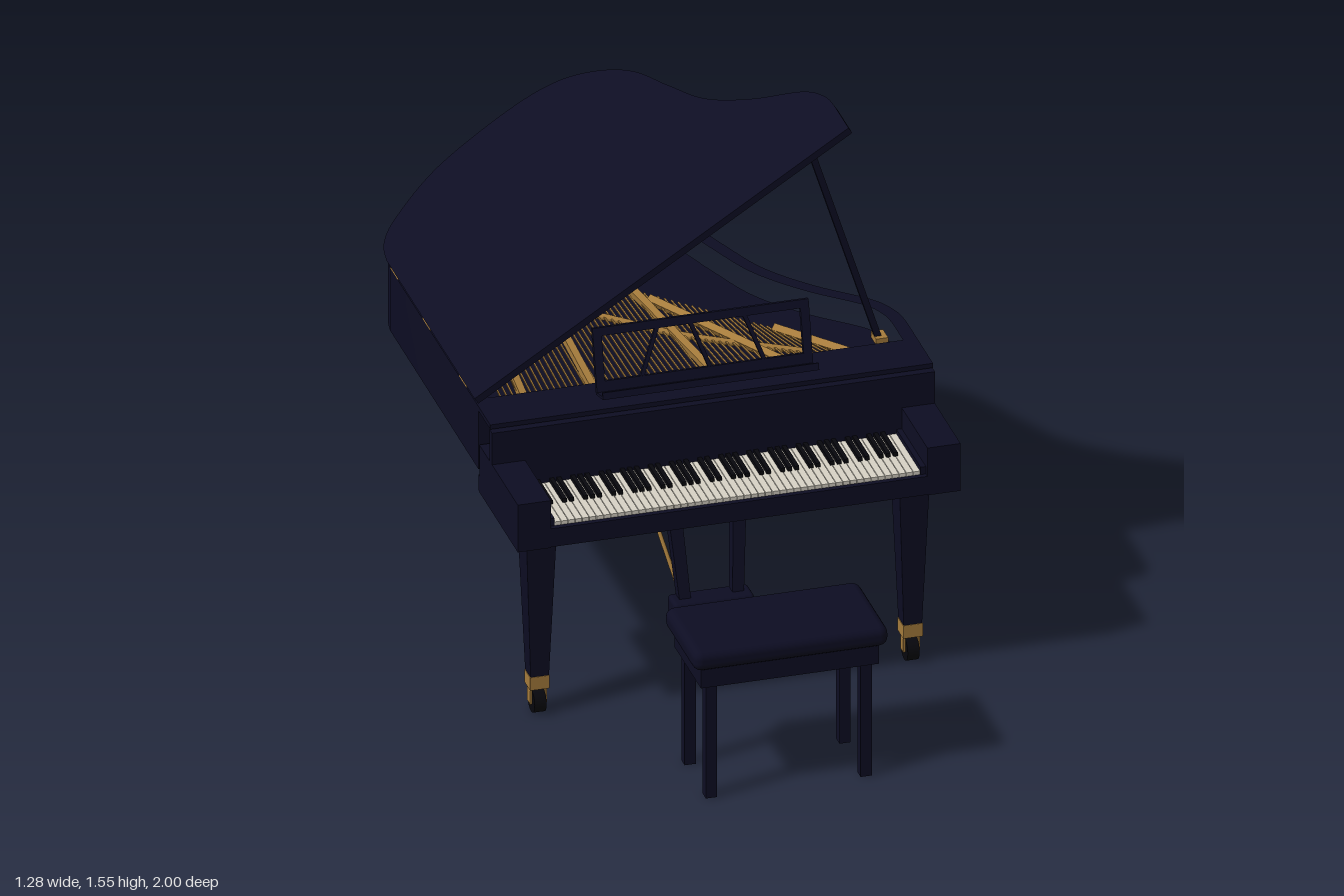
import * as THREE from 'three';
import { mergeGeometries, toCreasedNormals } from 'three/addons/utils/BufferGeometryUtils.js';
import { RoundedBoxGeometry } from 'three/addons/geometries/RoundedBoxGeometry.js';

const mat = (name, color) => new THREE.MeshStandardMaterial({ name, color });
const V = (x, y, z) => new THREE.Vector3(x, y, z);

export function createModel() {
  const lacquer = mat('midnight lacquer', 0x0d0d23);
  const brass = mat('brass', 0xa67c3c);
  const ivory = mat('ivory', 0xd9d4c7);
  const ebony = mat('ebony', 0x07070d);

  const root = new THREE.Group();
  root.name = 'grandPiano';
  const group = (name, parent = root) => {
    const g = new THREE.Group();
    g.name = name;
    parent.add(g);
    return g;
  };
  const add = (name, geo, material, parent = root) => {
    const m = new THREE.Mesh(geo, material);
    m.name = name;
    parent.add(m);
    return m;
  };
  // Box given by its limits on each axis
  const box = (x0, x1, y0, y1, z0, z1) =>
    new THREE.BoxGeometry(x1 - x0, y1 - y0, z1 - z0).translate((x0 + x1) / 2, (y0 + y1) / 2, (z0 + z1) / 2);
  // Straight bar between two points; four sides make it square
  const bar = (a, b, r0, r1 = r0, sides = 8) => {
    const d = b.clone().sub(a);
    let g = new THREE.CylinderGeometry(r1, r0, d.length(), sides);
    if (sides === 4) {
      g.rotateY(Math.PI / 4);
      g = toCreasedNormals(g, 0.5);
    }
    g.applyQuaternion(new THREE.Quaternion().setFromUnitVectors(V(0, 1, 0), d.normalize()));
    return g.translate((a.x + b.x) / 2, (a.y + b.y) / 2, (a.z + b.z) / 2);
  };

  // Wing-shaped outline, as (x, -z)
  const curve = new THREE.SplineCurve([
    [-0.635, 0.74], [-0.615, 0.82], [-0.55, 0.89], [-0.38, 0.975], [-0.14, 1.0], [0.02, 0.975], [0.135, 0.895],
    [0.22, 0.78], [0.28, 0.615], [0.345, 0.45], [0.45, 0.31], [0.58, 0.185], [0.625, 0.1], [0.635, 0.03],
  ].map(p => new THREE.Vector2(...p))).getPoints(78);
  const outline = inset => {
    const pts = curve.map((p, i) => {
      const a = curve[Math.max(i - 1, 0)], b = curve[Math.min(i + 1, curve.length - 1)];
      const t = b.clone().sub(a).normalize();
      return new THREE.Vector2(p.x + t.y * inset, p.y - t.x * inset);
    });
    const x = 0.635 - inset, f = -0.11 + inset;
    return [new THREE.Vector2(-x, f), ...pts, new THREE.Vector2(x, f)];
  };
  const slab = (shape, y, depth) => toCreasedNormals(
    new THREE.ExtrudeGeometry(shape, { depth, bevelEnabled: false }).rotateX(-Math.PI / 2).translate(0, y, 0), 0.5);

  // Case: rim and soundboard
  const body = group('case');
  const rim = new THREE.Shape(outline(0));
  rim.holes.push(new THREE.Path(outline(0.04)));
  add('rim', slab(rim, 0.65, 0.195), lacquer, body);
  add('soundboard', slab(new THREE.Shape(outline(0.035)), 0.652, 0.12), lacquer, body);

  // Raised lid, hinged along the straight side
  const lid = group('lid');
  lid.position.set(-0.635, 0.853, 0);
  lid.rotation.z = 0.565;
  add('lidPanel', slab(new THREE.Shape(outline(0)), 0, 0.02).translate(0.635, 0, 0), lacquer, lid);
  for (const z of [-0.04, -0.39, -0.7])
    add('lidHinge', box(-0.635, -0.61, 0.842, 0.862, z - 0.035, z + 0.035), brass);
  add('lidProp', bar(V(0.572, 0.77, -0.08), V(0.345, 1.485, -0.08), 0.013, 0.013, 4), lacquer);
  add('propSocket', box(0.555, 0.59, 0.77, 0.79, -0.105, -0.055), brass);

  // Iron frame and strings
  const harp = group('harp');
  add('pinPlate', box(-0.57, 0.565, 0.77, 0.79, 0.02, 0.07), brass, harp);
  const farEnd = x => x < 0 ? -0.5 + x * 0.43 : -0.5 + x * 1.06;
  const strings = [];
  for (let i = 0; i < 58; i++) {
    const x = -0.54 + i * 0.0175, xe = x * 0.85 - 0.03;
    strings.push(bar(V(x, 0.798, 0.06), V(xe, 0.798, farEnd(xe)), 0.003, 0.003, 4));
  }
  add('strings', mergeGeometries(strings), brass, harp);
  for (const [x0, z0, x1, z1] of [[-0.485, 0.1, -0.415, -0.68], [-0.28, 0.07, -0.25, -0.66],
    [0.07, 0.07, -0.01, -0.5], [0.3, 0.07, 0.02, -0.44], [0.47, 0.03, 0.3, -0.18]])
    add('frameBar', bar(V(x0, 0.8, z0), V(x1, 0.8, z1), 0.015, 0.015, 4), brass, harp);
  const bridge = new THREE.CatmullRomCurve3([V(-0.43, 0.795, -0.52), V(-0.2, 0.795, -0.44), V(0.05, 0.795, -0.22), V(0.35, 0.795, -0.03)]);
  add('bridge', new THREE.TubeGeometry(bridge, 24, 0.011, 6), brass, harp);

  // Keyboard
  const keyboard = group('keyboard');
  add('keybed', box(-0.635, 0.635, 0.585, 0.632, 0.11, 0.475), lacquer, keyboard);
  add('keySlip', box(-0.54, 0.54, 0.585, 0.642, 0.474, 0.49), lacquer, keyboard);
  for (const s of [-1, 1]) {
    add('cheek', box(0.54, 0.635, 0.583, 0.73, 0.12, 0.49).translate(s < 0 ? -1.175 : 0, 0, 0), lacquer, keyboard);
    add('keyBlock', box(-0.0075, 0.0075, 0.632, 0.665, 0.24, 0.475).translate(s * 0.5325, 0, 0), lacquer, keyboard);
  }
  add('fallboard', box(-0.635, 0.635, 0.632, 0.828, 0.217, 0.243), lacquer, keyboard);
  add('topShelf', box(-0.635, 0.635, 0.831, 0.845, 0.105, 0.225), lacquer, keyboard);
  const white = [], black = [], pitch = 1.05 / 52;
  for (let i = 0; i < 52; i++) {
    const x = -0.525 + i * pitch;
    white.push(box(x + 0.0008, x + pitch - 0.0008, 0.63, 0.652, 0.243, 0.472));
    if (i < 51 && [0, 2, 3, 5, 6].includes(i % 7))
      black.push(box(x + pitch - 0.006, x + pitch + 0.006, 0.64, 0.664, 0.243, 0.37));
  }
  add('whiteKeys', mergeGeometries(white), ivory, keyboard);
  add('blackKeys', mergeGeometries(black), ebony, keyboard);

  // Music desk leaning back
  const desk = group('musicDesk');
  desk.position.set(0, 0.855, 0.158);
  desk.rotation.x = -0.25;
  const h = 0.19;
  add('bottomRail', box(-0.31, 0.31, 0, 0.038, -0.007, 0.007), lacquer, desk);
  add('topRail', box(-0.31, 0.31, h - 0.024, h, -0.007, 0.007), lacquer, desk);
  for (const s of [-1, 1])
    add('sideRail', box(-0.0125, 0.0125, 0, h, -0.007, 0.007).translate(s * 0.2975, 0, 0), lacquer, desk);
  for (const [a, b] of [[-0.18, -0.125], [0.02, -0.03], [0.175, 0.125]])
    add('slat', bar(V(a, 0.03, 0), V(b, h - 0.02, 0), 0.008, 0.008, 4), lacquer, desk);
  add('ledge', box(-0.31, 0.31, 0, 0.008, 0, 0.065), lacquer, desk);
  add('ledgeLip', box(-0.31, 0.31, 0, 0.02, 0.058, 0.065), lacquer, desk);

  // Tapered legs on brass casters
  const leg = (name, x, z, top) => {
    const g = group(name);
    g.position.set(x, 0, z);
    add('collar', box(-0.06, 0.06, top - 0.028, top, -0.06, 0.06), lacquer, g);
    add('neck', box(-0.05, 0.05, top - 0.045, top - 0.028, -0.05, 0.05), lacquer, g);
    add('shaft', bar(V(0, 0.115, 0), V(0, top - 0.045, 0), 0.037, 0.06, 4), lacquer, g);
    add('ferrule', box(-0.028, 0.028, 0.08, 0.12, -0.028, 0.028), brass, g);
    for (const s of [-1, 1])
      add('fork', box(-0.003, 0.003, 0.03, 0.085, -0.014, 0.014).translate(s * 0.021, 0, 0), brass, g);
    add('caster', new THREE.CylinderGeometry(0.035, 0.035, 0.034, 20).rotateZ(Math.PI / 2).translate(0, 0.035, 0), ebony, g);
  };
  leg('frontLegLeft', 0.535, 0.34, 0.585);
  leg('frontLegRight', -0.535, 0.34, 0.585);
  leg('backLeg', -0.26, -0.815, 0.65);

  // Pedal lyre
  const lyre = group('pedalLyre');
  add('pedalBox', new RoundedBoxGeometry(0.23, 0.055, 0.075, 2, 0.012).translate(0, 0.193, 0.218), lacquer, lyre);
  for (const s of [-1, 1]) {
    add('lyrePost', bar(V(s * 0.075, 0.2, 0.213), V(s * 0.102, 0.6, 0.14), 0.023, 0.029, 4), lacquer, lyre);
    add('brace', bar(V(s * 0.075, 0.2, 0.2), V(s * 0.182, 0.655, -0.025), 0.006), brass, lyre);
  }
  for (const x of [-0.065, 0, 0.065]) {
    const path = new THREE.CatmullRomCurve3([V(x, 0.17, 0.235), V(x, 0.13, 0.255), V(x, 0.118, 0.275), V(x, 0.121, 0.325)]);
    add('pedalArm', new THREE.TubeGeometry(path, 12, 0.006, 8), brass, lyre);
    add('pedalPad', new THREE.SphereGeometry(1, 14, 8).scale(0.016, 0.009, 0.035).translate(x, 0.121, 0.31), brass, lyre);
  }

  // Bench
  const bench = group('bench');
  add('cushion', new RoundedBoxGeometry(0.56, 0.062, 0.3, 2, 0.026).translate(0, 0.439, 0.85), lacquer, bench);
  add('apron', box(-0.255, 0.255, 0.35, 0.415, 0.722, 0.978), lacquer, bench);
  for (const x of [-0.222, 0.222]) for (const z of [0.748, 0.952])
    add('benchLeg', box(x - 0.016, x + 0.016, 0, 0.352, z - 0.016, z + 0.016), lacquer, bench);

  return root;
}
